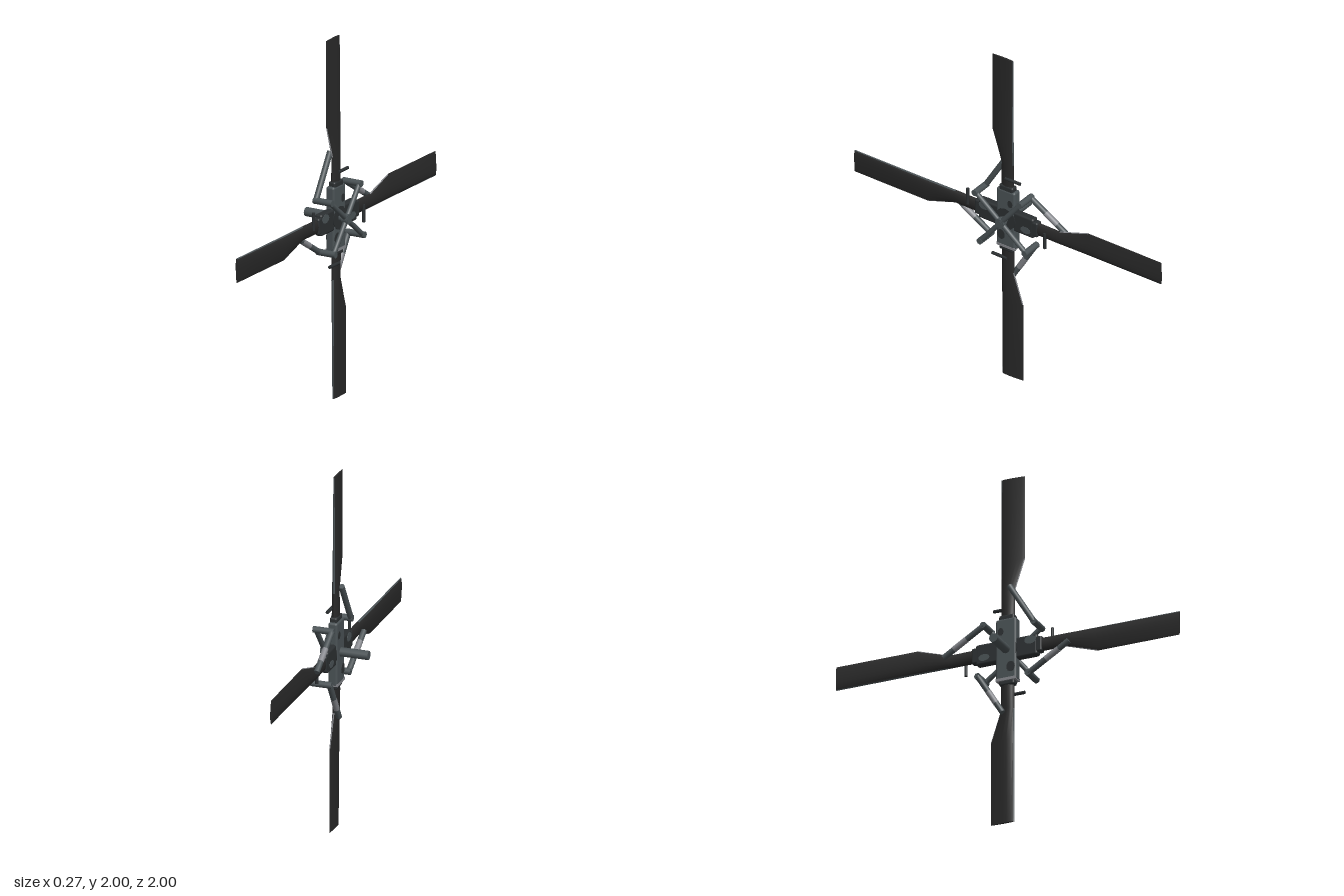
import * as THREE from 'three';
import { toCreasedNormals } from 'three/addons/utils/BufferGeometryUtils.js';
import { RoundedBoxGeometry } from 'three/addons/geometries/RoundedBoxGeometry.js';

const material = (name, color) => {
  const m = new THREE.MeshStandardMaterial({ color });
  m.name = name;
  return m;
};

// Lofted blade: each station is [y, zLeading, zTrailing, thickness, tailThinning].
// Groups: 0 = skin, 1 = leading edge strip, 2 = worn edge of the flare.
function bladeGeometry(stations, sides = 16) {
  const positions = [], faces = [[], [], []];
  for (const [y, z0, z1, thick, thin] of stations) {
    for (let i = 0; i < sides; i++) {
      const a = (i / sides) * Math.PI * 2;
      const s = Math.sin(a);
      positions.push(
        0.05 + Math.cos(a) * (thick / 2) * (1 + thin * s),
        y,
        (z0 + z1) / 2 - s * (z1 - z0) / 2
      );
    }
  }
  const lead = sides / 4, tail = lead * 3;
  for (let r = 0; r < stations.length - 1; r++) {
    for (let i = 0; i < sides; i++) {
      const j = (i + 1) % sides;
      const a = r * sides + i, b = r * sides + j;
      const onLead = (i === lead || i === lead - 1) && r >= 2;
      const onFlare = (i === tail || i === tail - 1) && r === 2;
      const group = onLead ? 1 : onFlare ? 2 : 0;
      faces[group].push(a, b, b + sides, a, b + sides, a + sides);
    }
  }
  // Flat root and tip
  const top = (stations.length - 1) * sides;
  for (let i = 1; i < sides - 1; i++) {
    faces[0].push(top, top + i, top + i + 1, 0, i + 1, i);
  }
  const g = new THREE.BufferGeometry();
  g.setAttribute('position', new THREE.Float32BufferAttribute(positions, 3));
  g.setIndex(faces.flat());
  let start = 0;
  faces.forEach((list, k) => {
    g.addGroup(start, list.length, k);
    start += list.length;
  });
  return toCreasedNormals(g, 0.7);
}

export function createModel() {
  const black = material('blade black', 0x282828);
  const grey = material('hub grey', 0x4a5255);
  const dark = material('cuff dark grey', 0x2b2f31);
  const pale = material('worn metal', 0x85878c);

  const model = new THREE.Group();
  model.name = 'tailRotor';
  const rotor = new THREE.Group();
  rotor.name = 'rotor';
  rotor.position.y = 1;
  model.add(rotor);

  const add = (parent, name, geometry, mat, x = 0, y = 0, z = 0) => {
    const mesh = new THREE.Mesh(geometry, mat);
    mesh.name = name;
    mesh.position.set(x, y, z);
    parent.add(mesh);
    return mesh;
  };

  // Round bar between two points
  const bar = (parent, name, from, to, radius, mat) => {
    const a = new THREE.Vector3(...from), b = new THREE.Vector3(...to);
    const dir = b.clone().sub(a);
    const mid = a.clone().add(b).multiplyScalar(0.5);
    const mesh = add(parent, name, new THREE.CylinderGeometry(radius, radius, dir.length(), 12),
      mat, mid.x, mid.y, mid.z);
    mesh.quaternion.setFromUnitVectors(new THREE.Vector3(0, 1, 0), dir.normalize());
    return mesh;
  };

  // Drive shaft and central hub
  bar(rotor, 'driveShaft', [-0.135, 0, 0], [0.04, 0, 0], 0.025, grey);
  bar(rotor, 'controlShaft', [0.03, 0, 0], [0.132, 0, 0], 0.018, grey);
  bar(rotor, 'hubBarrel', [0.025, 0, 0], [0.075, 0, 0], 0.065, dark);
  bar(rotor, 'spiderCentre', [0.098, 0, 0], [0.13, 0, 0], 0.028, grey);

  // Crossed yokes carrying opposite blades
  add(rotor, 'verticalYoke', new RoundedBoxGeometry(0.052, 0.36, 0.12, 2, 0.012), grey, 0.048);
  add(rotor, 'horizontalYoke', new RoundedBoxGeometry(0.044, 0.12, 0.36, 2, 0.012), dark, 0.05);
  add(rotor, 'wornYokeEnd', new THREE.BoxGeometry(0.054, 0.016, 0.116), pale, 0.048, -0.173, 0);

  // Mottled paint patches on both faces of the yokes: [y, z, height, width, colour]
  const patches = [
    [-0.105, 0.028, 0.03, 0.024, dark],
    [0.105, -0.03, 0.022, 0.016, dark],
    [0.03, 0.14, 0.024, 0.034, grey],
    [-0.022, -0.13, 0.02, 0.032, grey]
  ];
  for (const [y, z, h, w, mat] of patches) {
    const halfDepth = mat === dark ? 0.028 : 0.024;
    const patch = new THREE.CylinderGeometry(1, 1, halfDepth * 2, 16).rotateZ(Math.PI / 2);
    add(rotor, 'paintPatch', patch.scale(1, h, w), mat, mat === dark ? 0.048 : 0.05, y, z);
  }

  const blade = bladeGeometry([
    [0.1, -0.037, 0.04, 0.04, 0],
    [0.2, -0.037, 0.04, 0.036, 0],
    [0.34, -0.037, 0.04, 0.032, 0.2],
    [0.52, -0.037, 0.1, 0.026, 0.5],
    [1.0, -0.037, 0.1, 0.011, 0.5]
  ]);

  // Four blades with their pitch linkages
  for (let i = 0; i < 4; i++) {
    const arm = new THREE.Group();
    arm.name = 'bladeAssembly' + (i + 1);
    arm.rotation.x = (i * Math.PI) / 2;
    rotor.add(arm);

    add(arm, 'blade', blade, [black, grey, pale]);
    add(arm, 'rootCuff', new RoundedBoxGeometry(0.042, 0.06, 0.09, 2, 0.01), dark, 0.05, 0.175, 0);

    // Spider arm, joint pin and pitch link to the blade
    const joint = [0.13, 0.163];
    bar(arm, 'spiderArm', [0.115, 0, 0], [0.115, ...joint], 0.014, grey);
    bar(arm, 'jointPin', [0.014, ...joint], [0.13, ...joint], 0.018, grey);
    bar(arm, 'pitchLink', [0.026, ...joint], [0.026, 0.365, 0.02], 0.016, grey);

    // Worn paint on three of the links
    if (i > 0) {
      bar(arm, 'wornLinkSleeve', [0.026, 0.23, 0.102], [0.026, 0.305, 0.057], 0.0168, pale);
    }

    // Balance peg on the leading side
    bar(arm, 'balancePeg', [0.066, 0.252, 0.005], [0.066, 0.252, -0.092], 0.009, dark);
  }
  return model;
}
